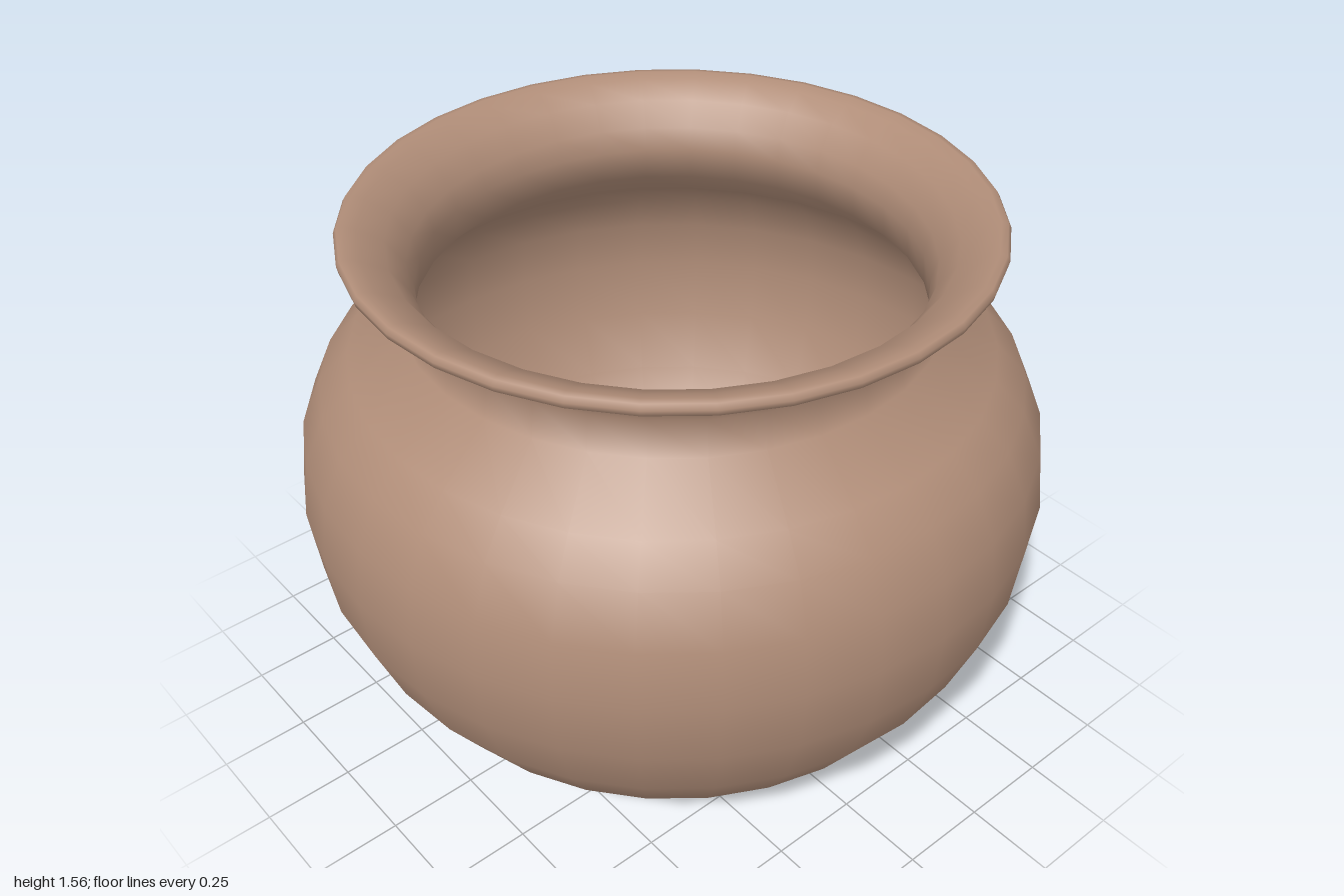
import * as THREE from 'three';

const SEGMENTS = 32;

// Revolves a list of [radius, height] pairs around the y axis
function revolve(name, profile, material) {
  const points = profile.map(([r, y]) => new THREE.Vector2(r, y));
  const mesh = new THREE.Mesh(new THREE.LatheGeometry(points, SEGMENTS), material);
  mesh.name = name;
  return mesh;
}

export function createModel() {
  const clay = new THREE.MeshStandardMaterial({ color: 0xb08d78 });
  clay.name = 'clay';

  // One closed skin: up the outside, over the rolled lip, down the inside
  const outerWall = [
    [0, 0], [0.2, 0.004], [0.44, 0.06], [0.635, 0.16], [0.81, 0.305], [0.91, 0.46],
    [0.98, 0.645], [1, 0.83], [0.978, 0.99], [0.92, 1.12], [0.84, 1.2],
    [0.695, 1.315], [0.68, 1.41], [0.73, 1.492],
  ];
  const lip = [
    [0.81, 1.518], [0.827, 1.53], [0.83, 1.545], [0.822, 1.558], [0.805, 1.56],
  ];
  const innerWall = [
    [0.775, 1.55], [0.71, 1.515], [0.665, 1.45], [0.65, 1.39], [0.66, 1.3],
    [0.81, 1.18], [0.89, 1.1], [0.945, 0.98], [0.965, 0.83], [0.945, 0.655],
    [0.88, 0.48], [0.785, 0.33], [0.615, 0.19], [0.425, 0.092], [0.2, 0.036], [0, 0.034],
  ];

  const group = new THREE.Group();
  group.name = 'roundPot';
  group.add(revolve('potBody', [...outerWall, ...lip, ...innerWall], clay));
  return group;
}
